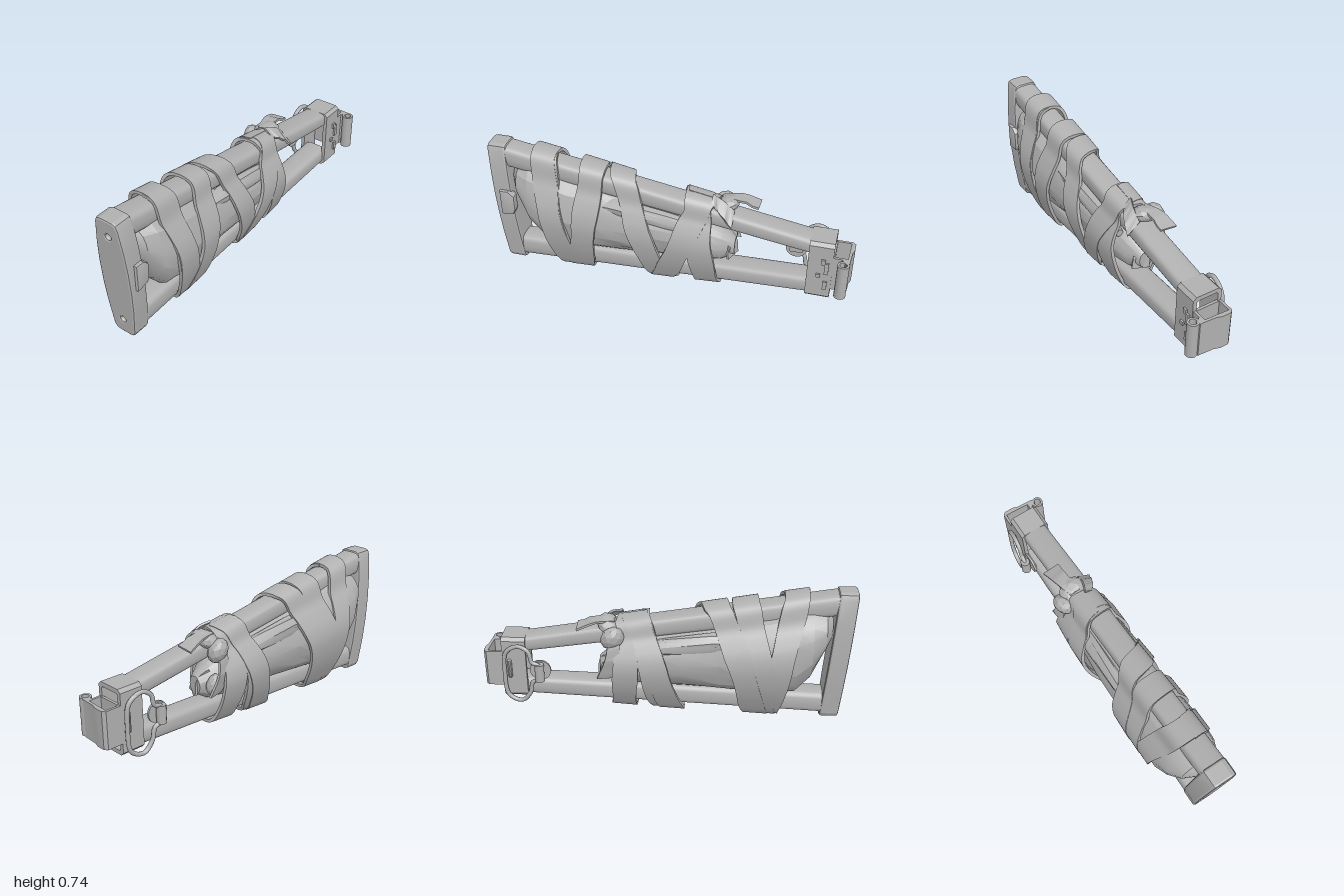
import * as THREE from 'three';
import { toCreasedNormals } from 'three/addons/utils/BufferGeometryUtils.js';

const grey = new THREE.MeshStandardMaterial({ color: 0xb0b0b0 });
grey.name = 'plain grey';
const CX = 0.018;
let seed = 7;
const rnd = () => (seed = (seed * 16807) % 2147483647) / 2147483647 - 0.5;

function add(parent, name, geo, crease = 0.5) {
  const mesh = new THREE.Mesh(toCreasedNormals(geo, crease), grey);
  mesh.name = name;
  parent.add(mesh);
  return mesh;
}

// Skin a list of equal rings and cap both ends
function loft(rings) {
  const n = rings[0].length, m = rings.length, idx = [];
  for (let i = 0; i < m - 1; i++) for (let j = 0; j < n; j++) {
    const a = i * n + j, b = i * n + (j + 1) % n;
    idx.push(a, b, b + n, a, b + n, a + n);
  }
  const e = (m - 1) * n;
  for (let j = 1; j < n - 1; j++) idx.push(0, j + 1, j, e, e + j, e + j + 1);
  const g = new THREE.BufferGeometry();
  g.setAttribute('position', new THREE.Float32BufferAttribute(rings.flat(2), 3));
  g.setIndex(idx);
  return g;
}

const points = (pts) => pts.map((p) => new THREE.Vector2(...p));
const polygon = (pts) => new THREE.Shape(points(pts));
const { lerp, smoothstep } = THREE.MathUtils;

// Rounded bar section, counter-clockwise seen from +z
function barRing(z, bottom, top, hw) {
  const cy = (top + bottom) / 2, hh = (top - bottom) / 2;
  return Array.from({ length: 24 }, (_, j) => {
    const a = j / 24 * Math.PI * 2, c = Math.cos(a), s = Math.sin(a);
    return [CX + hw * Math.sign(c) * Math.abs(c) ** 0.55, cy + hh * Math.sign(s) * Math.abs(s) ** 0.55, z];
  });
}

// Outline of the wrapped stock, clockwise from the top, scaled to the height and width at each z
const half = [[0.3, 1], [0.46, 0.95], [0.56, 0.83], [0.77, 0.72], [0.95, 0.6], [1, 0.5], [0.95, 0.38], [0.82, 0.25], [0.6, 0.11], [0.46, 0.04], [0.3, 0]];
const outline = new THREE.CatmullRomCurve3(
  [...half, ...half.map(([x, y]) => [-x, y]).reverse()].map(([x, y]) => new THREE.Vector3(x, y, 0)), true);
function wrapPoint(turn, z, lift) {
  const u = (turn - 0.5 / 22 + 1) % 1;
  const p = outline.getPoint(u), t = outline.getTangent(u);
  const bottom = 0.055 - 0.048 * z, h = 0.59 + 0.176 * z - bottom;
  const w = 0.142 + 0.03 * smoothstep(z, -0.1, 0.55) - 0.022 * smoothstep(-z, 0.15, 0.4);
  const nx = -t.y * h, ny = t.x * w, l = Math.hypot(nx, ny);
  return [CX * (1 - Math.abs(p.x)) + p.x * w + nx / l * lift, bottom + p.y * h + ny / l * lift, z];
}

// One long cloth strip; z is given at every quarter turn: top, +x, bottom, -x
function clothStrip(zs, hw) {
  const path = new THREE.CatmullRomCurve3(zs.map((z) => new THREE.Vector3(z, 0, 0)), false, 'catmullrom');
  const steps = (zs.length - 1) * 20, rings = [];
  for (let i = 0; i <= steps; i++) {
    const turn = i / 80, z = path.getPoint(i / steps).x;
    const w = hw * (1 + 0.05 * Math.sin(i * 0.37)), lift = 0.0025 * turn;
    rings.push([[-w, 0.01], [w, 0.01], [w, -0.008], [-w, -0.008]].map(([dz, n]) => wrapPoint(turn, z + dz, n + lift)));
  }
  return loft(rings);
}

// Lumpy padding through sections of [z, centre y, half height, half width]
function padding(sections, cx, rough) {
  return loft(sections.map(([z, cy, ry, rx]) => Array.from({ length: 18 }, (_, j) => {
    const a = j / 18 * Math.PI * 2, k = 1 + rnd() * rough;
    return [cx + Math.cos(a) * rx * k, cy + Math.sin(a) * ry * k, z];
  })).reverse());
}

export function createModel() {
  const model = new THREE.Group();
  model.name = 'wrappedStock';

  // Upper and lower bars
  const bars = [['upperBar', 0.61, 0.735, 0.355, 0.445], ['lowerBar', 0.022, 0.15, 0.1, 0.2]];
  for (const [name, b0, t0, b1, t1] of bars) {
    add(model, name, loft([barRing(-0.8, b1, t1, 0.07), barRing(0.9, b0, t0, 0.07)]));
  }

  // Butt plate with two screw holes, leaning back toward its foot
  const edge = [[0.035, 0.012], [0.05, 0.017], [0.058, 0.032], [0.076, 0.19], [0.083, 0.32], [0.083, 0.45], [0.076, 0.57], [0.06, 0.708], [0.052, 0.727], [0.037, 0.733]];
  const plate = polygon([...edge, ...edge.map(([x, y]) => [-x, y]).reverse()]);
  const holeHeights = [0.095, 0.642];
  for (const y of holeHeights) plate.holes.push(new THREE.Path().absarc(0, y, 0.027, 0, Math.PI * 2, true));
  const plateGeo = new THREE.ExtrudeGeometry(plate, { depth: 0.08, bevelThickness: 0.012, bevelSize: 0.011, bevelSegments: 2, curveSegments: 10 });
  const p = plateGeo.attributes.position;
  for (let i = 0; i < p.count; i++) p.setZ(i, p.getZ(i) + (p.getY(i) - 0.745) * 0.075);
  add(model, 'buttPlate', plateGeo.translate(CX, 0, 0.907), 0.3);
  for (const y of holeHeights) {
    const screw = add(model, 'screw', new THREE.CylinderGeometry(0.028, 0.028, 0.06, 14).rotateX(Math.PI / 2));
    screw.position.set(CX, y, 0.94 + (y - 0.745) * 0.075);
  }
  const latch = polygon([[-0.93, 0.335], [-0.87, 0.345], [-0.86, 0.37], [-0.86, 0.45], [-0.89, 0.475], [-0.93, 0.475]]);
  add(model, 'sideLatch', new THREE.ExtrudeGeometry(latch, { depth: 0.033, bevelSize: 0.006, bevelThickness: 0.006, bevelSegments: 2 })
    .rotateY(Math.PI / 2).translate(0.09, 0, 0));

  // Padding bundled between the bars
  add(model, 'padding', padding([[0.875, 0.53, 0.06, 0.05], [0.84, 0.51, 0.11, 0.11], [0.77, 0.445, 0.2, 0.15], [0.69, 0.4, 0.245, 0.165],
    [0.55, 0.37, 0.24, 0.165], [0.4, 0.36, 0.22, 0.155], [0.28, 0.35, 0.19, 0.145], [0.1, 0.34, 0.17, 0.14], [-0.05, 0.33, 0.15, 0.13],
    [-0.2, 0.31, 0.13, 0.115], [-0.3, 0.29, 0.1, 0.085], [-0.37, 0.28, 0.05, 0.04]], 0.005, 0.06), 0.35);
  for (const x of [0.085, -0.08]) {
    add(model, 'foldedCloth', padding([[0.4, 0.47, 0.03, 0.03], [0.25, 0.46, 0.06, 0.05], [0, 0.43, 0.05, 0.045],
      [-0.15, 0.41, 0.04, 0.035], [-0.24, 0.4, 0.02, 0.02]], x, 0.2), 0.35);
  }

  // Cloth strip wound from the butt toward the knot
  add(model, 'clothWrap', clothStrip([0.68, 0.62, 0.54, 0.6, 0.68, 0.62, 0.53, 0.5, 0.41, 0.44, 0.49, 0.4, 0.25, 0.12, 0, -0.08,
    -0.16, -0.2, -0.235, -0.22, -0.2, -0.09, 0.03, -0.06, -0.18], 0.067), 0.6);

  // Knot with loose ends
  const knot = new THREE.Group();
  knot.name = 'knot';
  model.add(knot);
  const lumps = [[-0.02, 0.53, -0.31, 0.08, 0.045, 0.07], [-0.09, 0.48, -0.29, 0.05, 0.07, 0.065], [-0.09, 0.3, -0.32, 0.04, 0.06, 0.04]];
  for (const [x, y, z, sx, sy, sz] of lumps) {
    const lump = add(knot, 'knotFold', new THREE.IcosahedronGeometry(1, 1), 0.3);
    lump.scale.set(sx, sy, sz);
    lump.position.set(x, y, z);
    lump.rotation.set(0.3, 0.4, 0.2);
  }
  const tails = [
    [[-0.02, 0.56, -0.28], [-0.04, 0.565, -0.38], [-0.05, 0.53, -0.48], [1, 0.1, 0]],
    [[0.04, 0.58, -0.24], [0.07, 0.555, -0.3], [0.08, 0.5, -0.36], [0.6, -0.5, 0]],
    [[-0.11, 0.47, -0.28], [-0.13, 0.37, -0.29], [-0.11, 0.25, -0.33], [0.2, 0, 1]],
    [[-0.02, 0.36, -0.3], [0.02, 0.32, -0.35], [0.03, 0.23, -0.36], [1, 0, 0.4]],
  ];
  for (const [a, b, c, side] of tails) {
    const curve = new THREE.CatmullRomCurve3([a, b, c].map((v) => new THREE.Vector3(...v)));
    const s = new THREE.Vector3(...side).normalize(), rings = [];
    for (let i = 0; i <= 6; i++) {
      const o = curve.getPoint(i / 6), n = curve.getTangent(i / 6).cross(s).normalize();
      const w = 0.03 + 0.003 * i, fold = i % 2 * 0.006;
      rings.push([[-w, -0.006], [w, -0.006 + fold], [w, 0.006 + fold], [-w, 0.006]]
        .map(([u, v]) => o.clone().addScaledVector(s, u).addScaledVector(n, v).toArray()));
    }
    add(knot, 'looseEnd', loft(rings), 0.3);
  }

  // Hollow block that holds both bars
  const rect = (x0, x1, y0, y1, c) => [[x0 + c, y0], [x1 - c, y0], [x1, y0 + c], [x1, y1 - c], [x1 - c, y1], [x0 + c, y1], [x0, y1 - c], [x0, y0 + c]];
  const block = polygon(rect(-0.066, 0.102, 0.095, 0.45, 0.018));
  block.holes.push(new THREE.Path(points(rect(-0.045, 0.08, 0.118, 0.425, 0.008))));
  add(model, 'hingeBlock', new THREE.ExtrudeGeometry(block, { depth: 0.13, bevelEnabled: false }).translate(0, 0, -0.9));
  for (const [y, z, h] of [[0.34, -0.85, 0.03], [0.3, -0.87, 0.07], [0.19, -0.87, 0.05], [0.25, -0.83, 0.02]]) {
    const lug = add(model, 'blockLug', new THREE.BoxGeometry(0.014, h, 0.022));
    lug.position.set(0.105, y, z);
  }
  const rib = add(model, 'blockRib', new THREE.CapsuleGeometry(0.012, 0.09, 4, 10));
  rib.position.set(-0.068, 0.27, -0.86);

  // Hinge bracket with its pin barrel
  const upright = (shape) => new THREE.ExtrudeGeometry(shape, { depth: 0.205, bevelEnabled: false, curveSegments: 12 })
    .rotateX(-Math.PI / 2).translate(0, 0.165, 0);
  const bracket = polygon([[-0.066, 0.89], [0.098, 0.89], [0.098, 0.945], [0.13, 0.965], [0.12, 0.985], [0.03, 0.99], [0, 1], [-0.05, 1], [-0.066, 0.985]]);
  bracket.holes.push(new THREE.Path(points([[-0.052, 0.905], [0.084, 0.905], [0.084, 0.972], [-0.052, 0.978]])));
  add(model, 'hingeBracket', upright(bracket));
  const barrel = new THREE.Shape().absarc(0.14, 0.955, 0.031, 0, Math.PI * 2);
  barrel.holes.push(new THREE.Path().absarc(0.14, 0.955, 0.019, 0, Math.PI * 2, true));
  add(model, 'hingeBarrel', upright(barrel));

  // Sling loop with its clasp on the right side
  const ring = [[0.09, -0.8], [0.12, -0.87], [0.25, -0.885], [0.38, -0.87], [0.42, -0.8], [0.39, -0.745], [0.33, -0.73], [0.31, -0.69], [0.23, -0.69], [0.21, -0.73], [0.14, -0.75]];
  const loopCurve = new THREE.CatmullRomCurve3(ring.map(([y, z]) => new THREE.Vector3(-0.09 - (z + 0.88) * 0.1, y, z)), true);
  add(model, 'slingLoop', new THREE.TubeGeometry(loopCurve, 60, 0.012, 8, true), 0.9);
  const clasp = add(model, 'slingClasp', new THREE.CylinderGeometry(0.026, 0.026, 0.1, 12));
  clasp.position.set(-0.108, 0.27, -0.69);
  const stud = add(model, 'slingStud', new THREE.CylinderGeometry(0.058, 0.058, 0.012, 20).rotateZ(Math.PI / 2));
  stud.position.set(-0.075, 0.27, -0.69);
  const pin = add(model, 'studPin', new THREE.BoxGeometry(0.02, 0.04, 0.07));
  pin.position.set(-0.068, 0.27, -0.69);

  return model;
}
